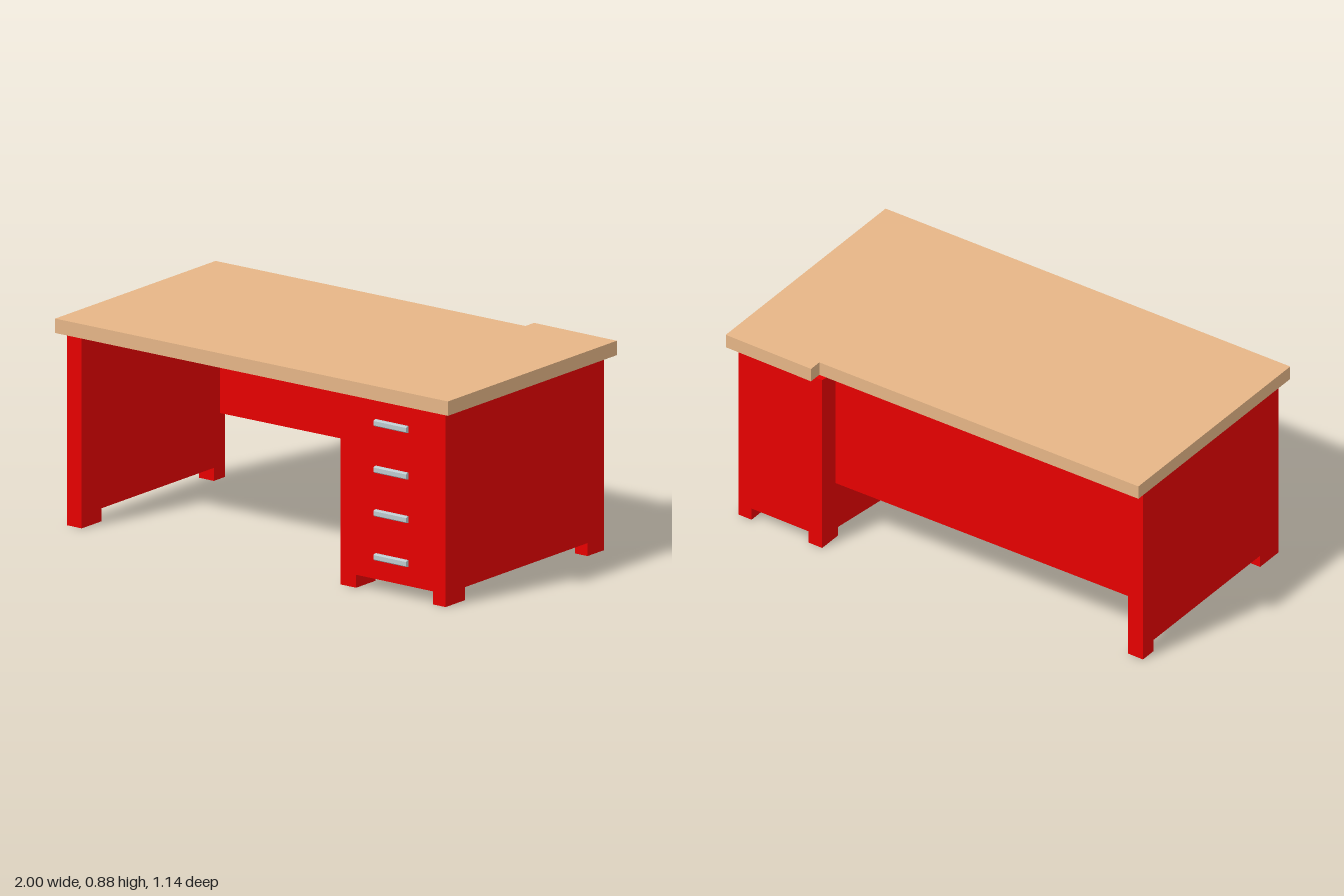
import * as THREE from 'three';

// Upright prism from a plan outline of [x, z] points, between two heights
function prism(name, plan, y0, y1, material) {
  const shape = new THREE.Shape(plan.map(([x, z]) => new THREE.Vector2(x, -z)));
  const geometry = new THREE.ExtrudeGeometry(shape, { depth: y1 - y0, bevelEnabled: false });
  geometry.rotateX(-Math.PI / 2).translate(0, y0, 0);
  const mesh = new THREE.Mesh(geometry, material);
  mesh.name = name;
  return mesh;
}

function paint(name, color) {
  const material = new THREE.MeshStandardMaterial({ color });
  material.name = name;
  return material;
}

export function createModel() {
  const wood = paint('tan wood', 0xe6b687);
  const red = paint('red paint', 0xe80000);
  const brown = paint('red brown underside', 0xe26c48);
  const metal = paint('grey metal', 0xbccace);

  const desk = new THREE.Group();
  desk.name = 'desk';
  const under = 0.824, base = 0.055;

  // Worktop with a step at the back, above the drawers
  desk.add(prism('worktop', [[-1, 0.57], [1, 0.546], [1, -0.573], [0.575, -0.573],
    [0.575, -0.515], [-1, -0.493]], under, 0.885, wood));

  // Thin lining under the worktop, over the knee space
  desk.add(prism('kneeSpaceLining', [[-0.91, 0.505], [0.42, 0.505], [0.524, -0.41], [-0.91, -0.41]],
    under - 0.004, under, brown));

  // Side panel with a foot at each end, cut from its side outline
  const side = new THREE.Shape([[0.51, 0], [0.51, under], [-0.44, under], [-0.44, 0],
    [-0.365, 0], [-0.365, base], [0.38, base], [0.38, 0]].map(([z, y]) => new THREE.Vector2(-z, y)));
  const sideGeometry = new THREE.ExtrudeGeometry(side, { depth: 0.075, bevelEnabled: false });
  sideGeometry.rotateY(Math.PI / 2).translate(-0.985, 0, 0);
  const sidePanel = new THREE.Mesh(sideGeometry, red);
  sidePanel.name = 'sidePanel';
  desk.add(sidePanel);

  // Back panel between the side panel and the drawers
  desk.add(prism('backPanel', [[-0.91, -0.405], [0.56, -0.425], [0.56, -0.46], [-0.91, -0.435]],
    0.278, under, red));

  // Drawer cabinet, narrower towards the back
  desk.add(prism('drawerCabinet', [[0.42, 0.51], [0.96, 0.51], [0.96, -0.54], [0.543, -0.54]],
    base, under, red));

  // Cabinet feet: x range, z range
  const feet = [[0.42, 0.5, 0.38, 0.51], [0.895, 0.96, 0.38, 0.51],
    [0.543, 0.612, -0.54, -0.43], [0.895, 0.96, -0.54, -0.43]];
  for (const [x0, x1, z0, z1] of feet) {
    desk.add(prism('cabinetFoot', [[x0, z1], [x1, z1], [x1, z0], [x0, z0]], 0, base, red));
  }

  // Drawer handles with a chamfered front edge, as a profile along x
  const profile = new THREE.Shape([[0, -0.014], [0.012, -0.014], [0.018, -0.009], [0.018, 0.009],
    [0.012, 0.014], [0, 0.014]].map(([z, y]) => new THREE.Vector2(-z, y)));
  const handleGeometry = new THREE.ExtrudeGeometry(profile, { depth: 0.168, bevelEnabled: false });
  handleGeometry.rotateY(Math.PI / 2);
  for (const y of [0.718, 0.521, 0.337, 0.151]) {
    const handle = new THREE.Mesh(handleGeometry, metal);
    handle.name = 'drawerHandle';
    handle.position.set(0.602, y, 0.508);
    desk.add(handle);
  }
  return desk;
}
